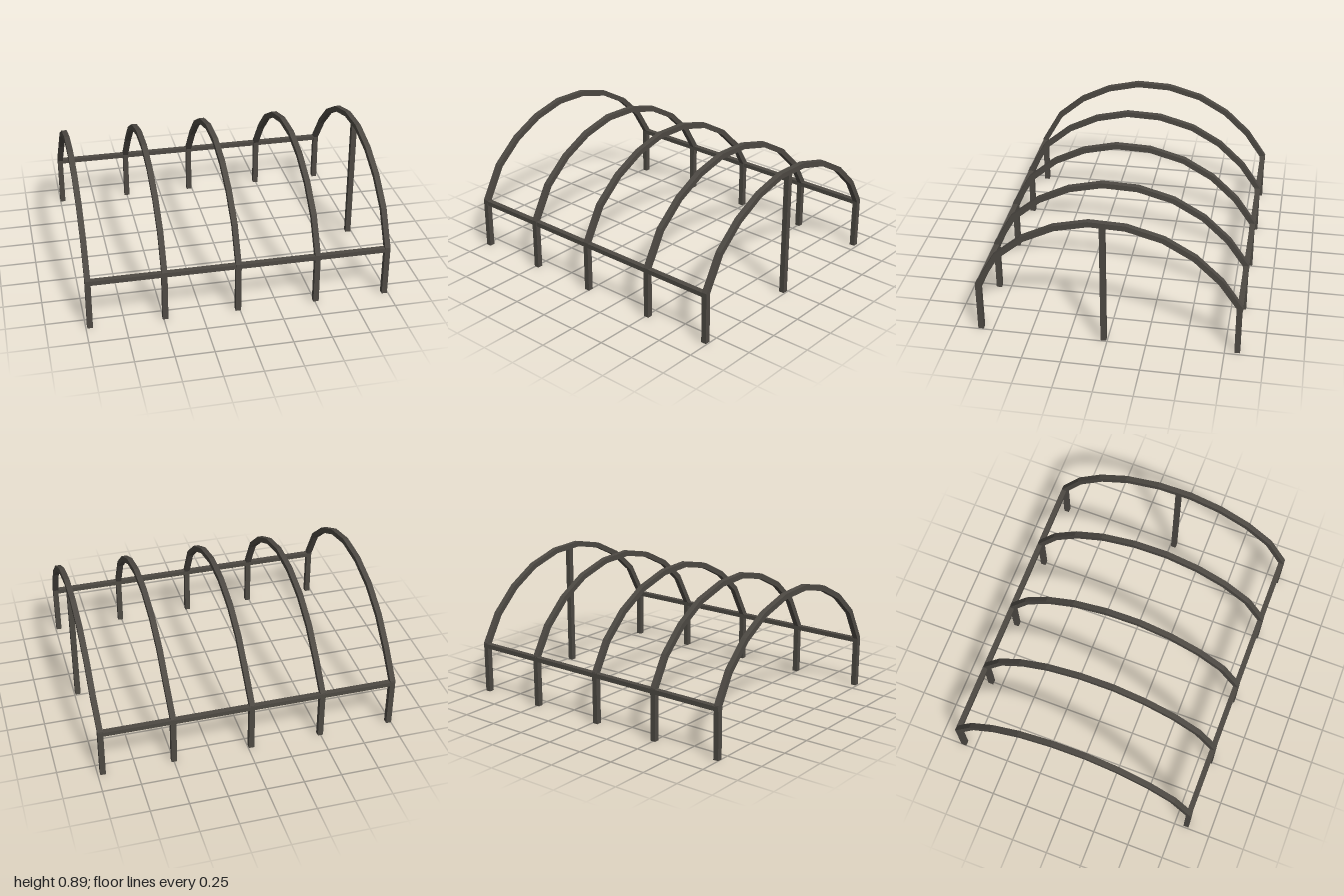
import * as THREE from 'three';

const HALF = 0.018;

// Arch centreline as [z, y], from front foot over the top to back foot
const ARCH = [
  [0.83, 0], [0.83, 0.345], [0.706, 0.565], [0.53, 0.715], [0.33, 0.815], [0.11, 0.867],
  [-0.12, 0.859], [-0.35, 0.795], [-0.545, 0.683], [-0.71, 0.527], [-0.83, 0.345], [-0.83, 0],
];

// Square bar swept along the arch with mitred joints; the back leg sits slightly to one side
function archGeometry() {
  const pts = ARCH.map(([z, y]) => new THREE.Vector2(z, y));
  const n = pts.length;
  const dir = i => pts[i + 1].clone().sub(pts[i]).normalize();
  const pos = [], index = [];
  pts.forEach((p, i) => {
    const a = dir(Math.max(i - 1, 0)), b = dir(Math.min(i, n - 2));
    const t = a.clone().add(b).normalize();
    const h = HALF / t.dot(a);
    const out = new THREE.Vector2(t.y, -t.x).multiplyScalar(h); // towards the inside or outside of the bend
    const shift = i >= n - 2 ? -0.01 : 0;
    for (const [sx, so] of [[-1, -1], [1, -1], [1, 1], [-1, 1]]) {
      pos.push(shift + sx * HALF, p.y + so * out.y, p.x + so * out.x);
    }
  });
  for (let i = 0; i < n - 1; i++) {
    for (let k = 0; k < 4; k++) {
      const a = i * 4 + k, b = i * 4 + (k + 1) % 4;
      index.push(a, b, b + 4, a, b + 4, a + 4);
    }
  }
  const e = (n - 1) * 4;
  index.push(0, 2, 1, 0, 3, 2, e, e + 1, e + 2, e, e + 2, e + 3); // feet
  const indexed = new THREE.BufferGeometry();
  indexed.setAttribute('position', new THREE.Float32BufferAttribute(pos, 3));
  indexed.setIndex(index);
  const geo = indexed.toNonIndexed();

  // Make the winding face outwards
  const p = geo.attributes.position;
  const v = i => new THREE.Vector3().fromBufferAttribute(p, i);
  let volume = 0;
  for (let i = 0; i < p.count; i += 3) volume += v(i).dot(v(i + 1).cross(v(i + 2)));
  if (volume < 0) {
    for (let i = 0; i < p.count; i += 3) {
      const b = v(i + 1), c = v(i + 2);
      p.setXYZ(i + 1, c.x, c.y, c.z);
      p.setXYZ(i + 2, b.x, b.y, b.z);
    }
  }
  geo.computeVertexNormals();
  return geo;
}

export function createModel() {
  const model = new THREE.Group();
  model.name = 'archedFrame';
  const metal = new THREE.MeshStandardMaterial({ color: 0x4d4943 });
  metal.name = 'darkMetal';

  const add = (name, geo, x, y, z) => {
    const mesh = new THREE.Mesh(geo, metal);
    mesh.name = name;
    mesh.position.set(x, y, z);
    model.add(mesh);
  };

  // Five hoops
  const arch = archGeometry();
  [-0.973, -0.489, -0.012, 0.508, 0.976].forEach((x, i) => add('hoop' + (i + 1), arch, x, 0, 0));

  // Side rails
  add('frontRail', new THREE.BoxGeometry(1.98, 0.03, 0.036), 0.002, 0.331, 0.828);
  add('backRail', new THREE.BoxGeometry(1.98, 0.03, 0.036), -0.008, 0.331, -0.834);

  // Upright under the end hoop
  add('endPost', new THREE.BoxGeometry(0.036, 0.86, 0.036), 0.976, 0.43, 0.025);

  return model;
}
